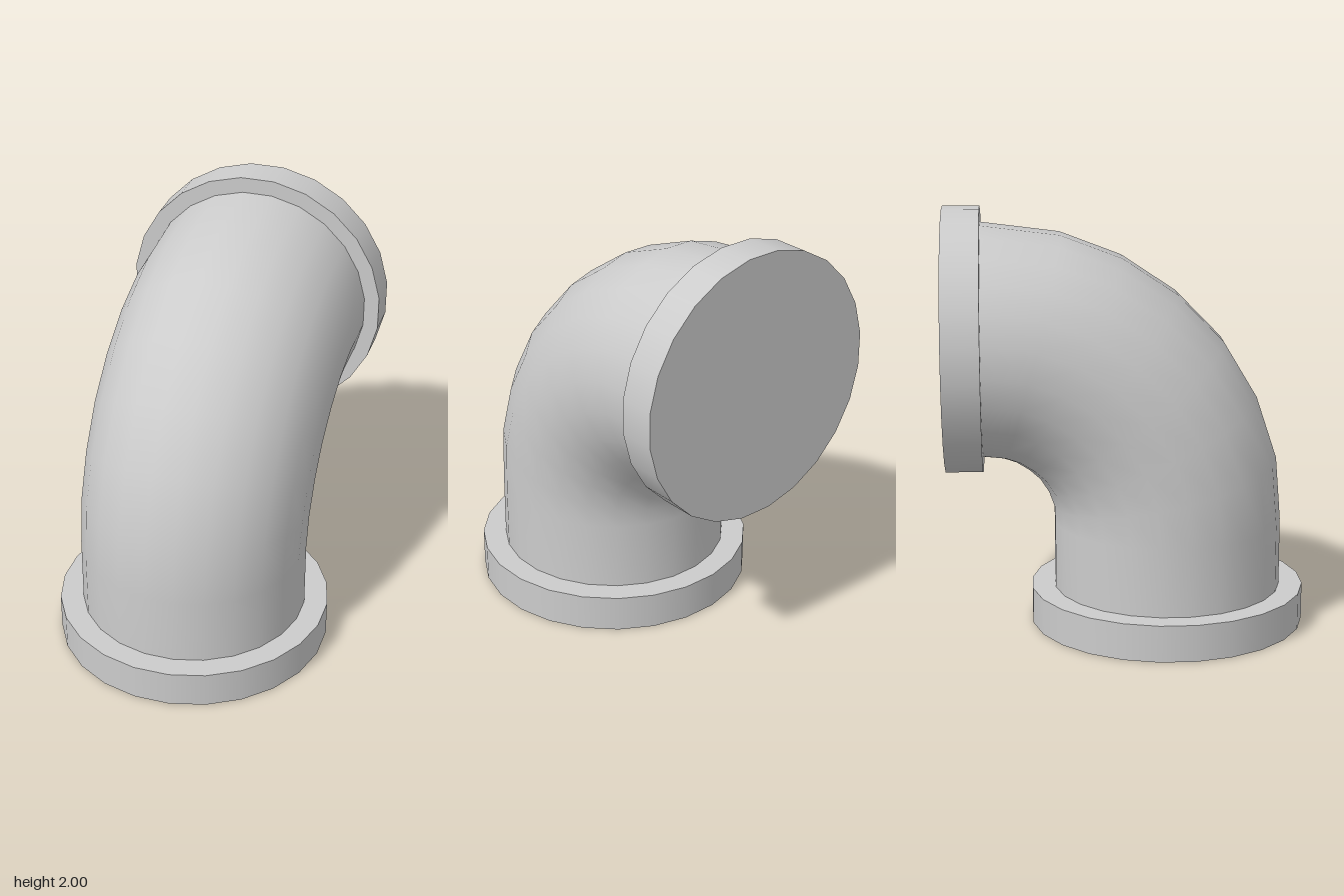
import * as THREE from 'three';

const SIDES = 24;
const PHASE = Math.PI / SIDES; // puts a flat facet on the axes

const material = new THREE.MeshStandardMaterial({ color: 0xcccccc });

// Solid disc-shaped collar at a pipe end
function makeFlange(name, radius, depth) {
  const geometry = new THREE.CylinderGeometry(radius, radius, depth, SIDES, 1, false, PHASE);
  const mesh = new THREE.Mesh(geometry, material);
  mesh.name = name;
  return mesh;
}

// Elbow: rings swept along a bend from upright to facing back
function makeElbow() {
  // centre line as [z, y, tilt in degrees]
  const stations = [
    [0.2, 0.1, 0], [0.2, 0.5, 0], [0.187, 0.69, 12], [0.125, 0.875, 24.5],
    [0.025, 1.04, 37], [-0.11, 1.175, 50], [-0.27, 1.28, 62.5],
    [-0.445, 1.345, 75.5], [-0.68, 1.373, 90], [-0.75, 1.373, 90],
  ];
  const positions = [];
  const indices = [];
  const row = SIDES;
  stations.forEach(([z, y, degrees], i) => {
    const tilt = THREE.MathUtils.degToRad(degrees);
    const x = THREE.MathUtils.lerp(-0.006, 0.032, degrees / 90);
    const r = THREE.MathUtils.lerp(0.546, 0.556, degrees / 90);
    for (let j = 0; j < SIDES; j++) {
      const a = PHASE + (j / SIDES) * Math.PI * 2;
      const out = r * Math.cos(a);
      positions.push(x + r * Math.sin(a), y + out * Math.sin(tilt), z + out * Math.cos(tilt));
      if (i < stations.length - 1) {
        const k = (j + 1) % SIDES;
        const p = i * row + j, q = i * row + k;
        indices.push(p, q, p + row, q, q + row, p + row);
      }
    }
  });
  const geometry = new THREE.BufferGeometry();
  geometry.setAttribute('position', new THREE.Float32BufferAttribute(positions, 3));
  geometry.setIndex(indices);
  geometry.computeVertexNormals();
  const mesh = new THREE.Mesh(geometry, material);
  mesh.name = 'elbowPipe';
  return mesh;
}

export function createModel() {
  const group = new THREE.Group();
  group.name = 'pipeElbow';

  // Wide collar on the ground
  const base = makeFlange('baseFlange', 0.658, 0.175);
  base.position.set(-0.006, 0.0875, 0.2);

  // Slightly smaller collar facing back
  const back = makeFlange('backFlange', 0.63, 0.175);
  back.rotation.x = Math.PI / 2;
  back.position.set(0.031, 1.375, -0.7675);

  group.add(base, makeElbow(), back);
  return group;
}
